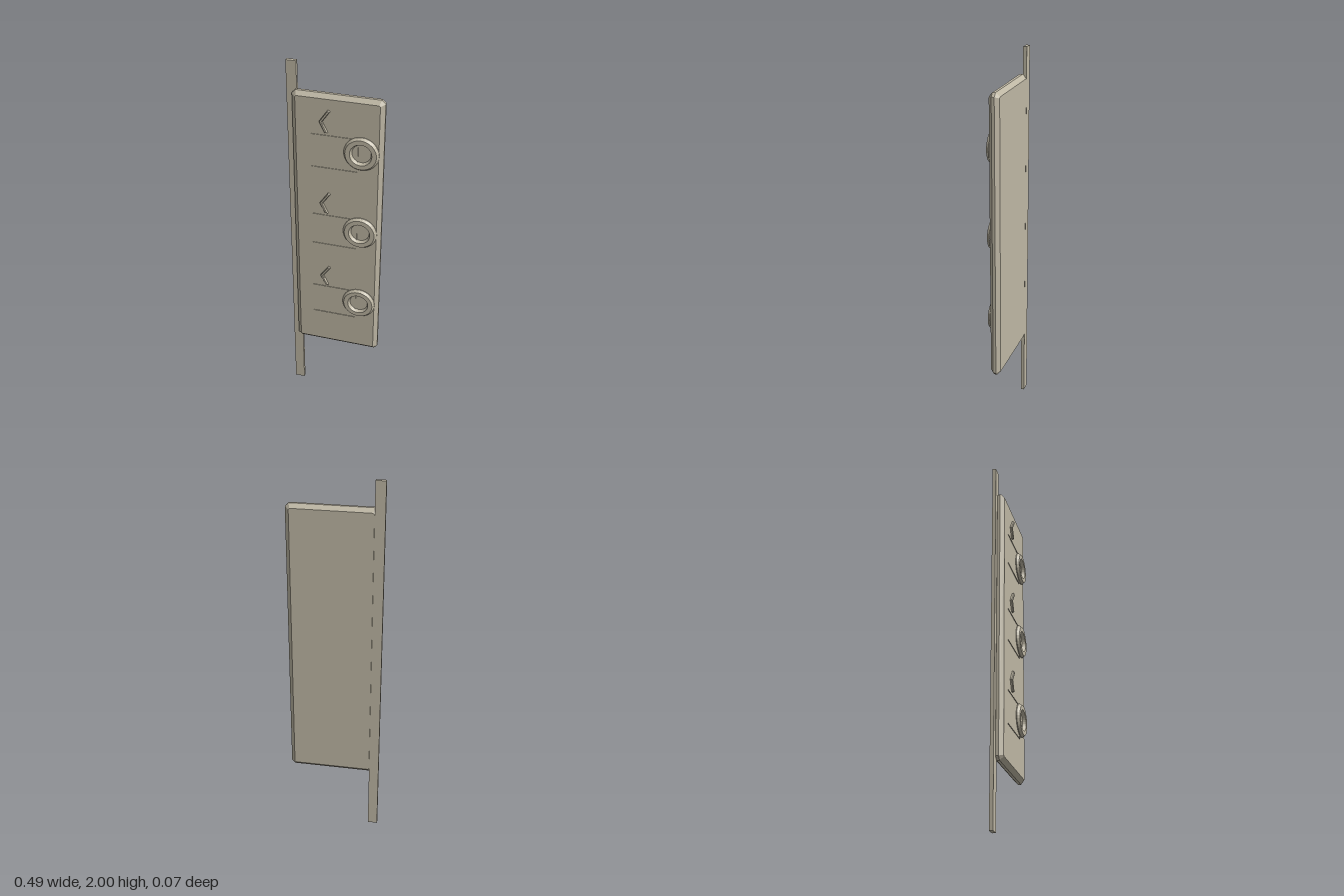
import * as THREE from 'three';

const stone = new THREE.MeshStandardMaterial({ color: 0xbfb8a5 });
stone.name = 'warm grey';

const FACE = 0.017; // z of the panel's front face

function add(parent, name, geometry, x = 0, y = 0, z = 0) {
  const mesh = new THREE.Mesh(geometry, stone);
  mesh.name = name;
  mesh.position.set(x, y, z);
  parent.add(mesh);
  return mesh;
}

function polygon(points) {
  return new THREE.Shape(points.map(([x, y]) => new THREE.Vector2(x, y)));
}

// Slab with cut corners and one flat chamfer around the front and back
function panelGeometry() {
  const b = 0.021, c = 0.006;
  const l = -0.215 + b, r = 0.245 - b, d = 0.345 + b, u = 1.862 - b;
  const shape = polygon([
    [l + c, d], [r - c, d], [r, d + c], [r, u - c],
    [r - c, u], [l + c, u], [l, u - c], [l, d + c],
  ]);
  return new THREE.ExtrudeGeometry(shape, {
    depth: 0.015, bevelThickness: 0.0195, bevelSize: b, bevelSegments: 1,
  });
}

// Tapered ring with a sloping inner wall
function ringGeometry() {
  const profile = [[0.048, 0], [0.056, 0.018], [0.079, 0.018], [0.089, 0.004], [0.089, 0]]
    .map(([r, h]) => new THREE.Vector2(r, h)).reverse();
  const g = new THREE.LatheGeometry(profile, 32).toNonIndexed();
  g.computeVertexNormals();
  return g.rotateX(Math.PI / 2);
}

// Raised arrow-like bracket pointing to -x
function chevronGeometry() {
  const shape = polygon([
    [0.016, 0.053], [-0.023, -0.002], [0.004, -0.055],
    [-0.005, -0.055], [-0.032, -0.002], [0.009, 0.057],
  ]);
  return new THREE.ExtrudeGeometry(shape, {
    depth: 0.009, bevelThickness: 0.004, bevelSize: 0.003, bevelSegments: 1,
  });
}

// Thin raised line between two corners
function line(parent, x0, y0, x1, y1) {
  const w = 0.004;
  add(parent, 'panelLine', new THREE.BoxGeometry(Math.max(x1 - x0, w), Math.max(y1 - y0, w), 0.004),
    (x0 + x1) / 2, (y0 + y1) / 2, FACE + 0.001);
}

export function createModel() {
  const group = new THREE.Group();
  group.name = 'wallPanel';

  add(group, 'panel', panelGeometry(), 0, 0, -0.0175);
  add(group, 'mountingRail', new THREE.BoxGeometry(0.052, 2, 0.019), -0.221, 1, -0.0275);

  const ring = ringGeometry();
  const chevron = chevronGeometry();

  // Three identical stations down the panel
  for (let i = 0; i < 3; i++) {
    const station = new THREE.Group();
    station.name = 'station' + (i + 1);
    station.position.y = 1.577 - i * 0.457;
    add(station, 'ring', ring, 0.138, 0, FACE);
    add(station, 'chevron', chevron, -0.038, 0.15, FACE);
    line(station, -0.115, 0.073, 0.1, 0.073);
    line(station, -0.115, -0.106, 0.12, -0.106);
    line(station, 0.12, -0.106, 0.12, 0.055);
    group.add(station);
  }
  return group;
}
